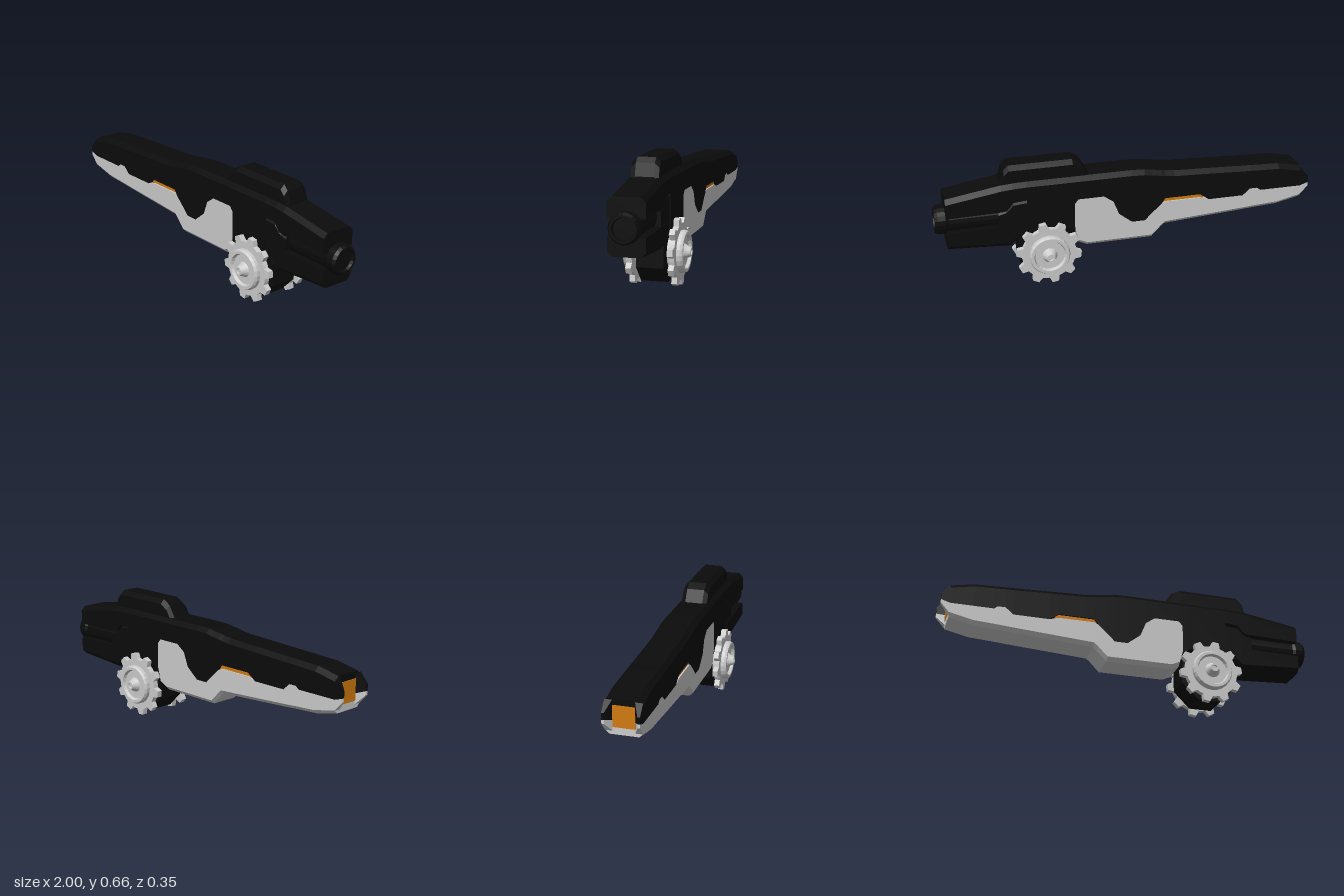
import * as THREE from 'three';

const mat = (color) => new THREE.MeshStandardMaterial({ color, flatShading: true });
const grey = mat(0xcccccc), black = mat(0x0b0b0b), orange = mat(0xd07a10);
const W = 0.093, C = 0.0235;

function add(parent, name, geometry, material) {
  const mesh = new THREE.Mesh(geometry, material);
  mesh.name = name;
  parent.add(mesh);
  return mesh;
}

// Skins convex rings of [x, y, z] corners that follow each other along +x
function loft(rings) {
  const pos = [], n = rings[0].length;
  const tri = (a, b, c) => pos.push(...a, ...b, ...c);
  for (let i = 0; i + 1 < rings.length; i++) {
    for (let k = 0; k < n; k++) {
      const j = (k + 1) % n, p = rings[i], q = rings[i + 1];
      tri(p[k], p[j], q[j]);
      tri(p[k], q[j], q[k]);
    }
  }
  const first = rings[0], last = rings[rings.length - 1];
  for (let k = 1; k + 1 < n; k++) {
    tri(first[0], first[k + 1], first[k]);
    tri(last[0], last[k], last[k + 1]);
  }
  const g = new THREE.BufferGeometry();
  g.setAttribute('position', new THREE.Float32BufferAttribute(pos, 3));
  g.computeVertexNormals();
  return g;
}

// Symmetric slab from [x, top, bottom] stations, with chamfered top and bottom edges
function slab(stations, w, topCut, bottomCut) {
  return loft(stations.map(([x, top, bottom]) => {
    const half = [];
    if (topCut) half.push([w - topCut, top]);
    half.push([w, top - topCut], [w, bottom + bottomCut]);
    if (bottomCut) half.push([w - bottomCut, bottom]);
    return [
      ...half.map(([z, y]) => [x, y, z]),
      ...half.slice().reverse().map(([z, y]) => [x, y, -z]),
    ];
  }));
}

// Pointed cheek beside the nose slot
function cheek(rearTop, rearBottom, tipTop, tipBottom) {
  const ring = (x, zi, zo, t, b) => [[x, t, zi], [x, t, zo], [x, b, zo], [x, b, zi]]
    .map(([px, y, z]) => [px, y, z]);
  // corner order runs anticlockwise seen from +x
  return loft([ring(-1, 0.08, W, tipTop, tipBottom), ring(-0.955, 0.055, W, rearTop, rearBottom)]
    .map(([a, b, c, d]) => [a, b, c, d]));
}

// Toothed ring in the xy plane
function sprocketShape(teeth, root, tip) {
  const shape = new THREE.Shape();
  const step = (Math.PI * 2) / teeth;
  for (let i = 0; i < teeth; i++) {
    const a = i * step + 0.14;
    [[-0.5, root], [-0.3, root], [-0.16, tip], [0.16, tip], [0.3, root]].forEach(([f, r], k) => {
      const x = r * Math.cos(a + f * step), y = r * Math.sin(a + f * step);
      if (i + k === 0) shape.moveTo(x, y); else shape.lineTo(x, y);
    });
  }
  shape.closePath();
  return shape;
}

export function createModel() {
  const model = new THREE.Group();

  // Long hull: x, top, upper shell bottom, lower shell top, lower shell bottom
  const hull = [
    [-0.955, 0.5, 0.39, 0.39, 0.318], [-0.83, 0.525, 0.39, 0.39, 0.29],
    [-0.73, 0.529, 0.39, 0.39, 0.284], [-0.71, 0.53, 0.405, 0.405, 0.283],
    [-0.67, 0.532, 0.405, 0.405, 0.28], [-0.63, 0.533, 0.37, 0.37, 0.277],
    [-0.44, 0.542, 0.37, 0.37, 0.265], [-0.39, 0.544, 0.405, 0.385, 0.262],
    [-0.25, 0.55, 0.405, 0.385, 0.253], [-0.2, 0.556, 0.405, 0.385, 0.25],
    [-0.18, 0.56, 0.375, 0.375, 0.232], [-0.13, 0.567, 0.33, 0.33, 0.18],
    [-0.09, 0.574, 0.29, 0.29, 0.18], [-0.02, 0.577, 0.29, 0.29, 0.18],
    [0.05, 0.577, 0.345, 0.345, 0.18], [0.08, 0.577, 0.42, 0.42, 0.18],
    [0.13, 0.577, 0.455, 0.455, 0.18], [0.22, 0.577, 0.455, 0.455, 0.18],
    [0.265, 0.577, 0.455, 0.455, 0.2], [0.285, 0.577, 0.43, 0.43, 0.27],
  ];
  add(model, 'upperShell', slab(hull.map((s) => [s[0], s[1], s[2]]), W, C, 0), black);
  add(model, 'lowerShell', slab(hull.map((s) => [s[0], s[3], s[4]]), W, 0, 0.02), grey);

  // Glowing core seen through the side windows and the nose slot
  const core = add(model, 'glowCore', new THREE.BoxGeometry(0.26, 0.05, 0.17), orange);
  core.position.set(-0.28, 0.395, 0);
  const noseGlow = add(model, 'noseGlow', new THREE.BoxGeometry(0.02, 0.11, 0.11), orange);
  noseGlow.position.set(-0.948, 0.41, 0);
  for (const side of [1, -1]) {
    add(model, 'upperNoseCheek', cheek(0.49, 0.39, 0.44, 0.405), black).scale.z = side;
    add(model, 'lowerNoseCheek', cheek(0.39, 0.335, 0.405, 0.385), grey).scale.z = side;
  }

  // Rear body, split around a narrow side-to-side gap
  add(model, 'midBody', slab([
    [0.285, 0.577, 0.24], [0.32, 0.577, 0.28], [0.53, 0.577, 0.28],
  ], W, C, 0.02), black);
  add(model, 'upperRearBlock', slab([
    [0.53, 0.577, 0.483], [0.6, 0.575, 0.478], [0.635, 0.572, 0.435], [0.66, 0.57, 0.43], [0.945, 0.525, 0.425],
  ], W, C, 0), black);
  add(model, 'rearCore', slab([
    [0.53, 0.474, 0.28], [0.6, 0.468, 0.26], [0.64, 0.43, 0.25], [0.68, 0.42, 0.25],
  ], 0.088, 0.01, 0.01), black);
  add(model, 'lowerRearBlock', slab([
    [0.56, 0.345, 0.29], [0.62, 0.345, 0.225], [0.945, 0.34, 0.245],
  ], W, 0, C), black);
  add(model, 'topHousing', slab([
    [0.2, 0.577, 0.53], [0.24, 0.64, 0.53], [0.285, 0.665, 0.53],
    [0.615, 0.665, 0.53], [0.64, 0.64, 0.53], [0.66, 0.575, 0.53],
  ], 0.07, 0.023, 0), black);

  // Rear barrel with a bevelled end
  const barrel = add(model, 'barrel', new THREE.LatheGeometry([
    [0, 0.6], [0.068, 0.6], [0.068, 0.93], [0.076, 0.945], [0.076, 0.985], [0.066, 1], [0.055, 1], [0.05, 0.985], [0, 0.985],
  ].map(([r, y]) => new THREE.Vector2(r, y)), 20), black);
  barrel.rotation.z = -Math.PI / 2;
  barrel.position.y = 0.385;

  // Octagonal drum between the two sprockets
  const drum = add(model, 'wheelDrum', new THREE.CylinderGeometry(0.157, 0.157, 0.14, 8), black);
  drum.rotation.set(Math.PI / 2, Math.PI / 8, 0);
  drum.position.set(0.43, 0.175, 0);

  // Sprocket wheels with dished hubs and tapered axle ends
  const teeth = new THREE.ExtrudeGeometry(sprocketShape(10, 0.142, 0.172), { depth: 0.029, bevelEnabled: false });
  const hub = new THREE.LatheGeometry([
    [0.09, 0.07], [0.09, 0.093], [0.107, 0.122], [0.107, 0.14], [0.1, 0.152], [0.085, 0.152],
    [0.078, 0.136], [0.04, 0.136], [0.031, 0.152], [0.022, 0.173], [0.014, 0.173], [0.012, 0.166], [0, 0.166],
  ].map(([r, y]) => new THREE.Vector2(r, y)), 24);
  hub.rotateX(Math.PI / 2);
  for (const side of [1, -1]) {
    const wheel = new THREE.Group();
    wheel.name = side > 0 ? 'frontWheel' : 'backWheel';
    wheel.position.set(0.43, 0.175, 0);
    wheel.scale.z = side;
    add(wheel, 'sprocket', teeth, grey).position.z = W;
    add(wheel, 'hub', hub, grey);
    model.add(wheel);
  }
  return model;
}
